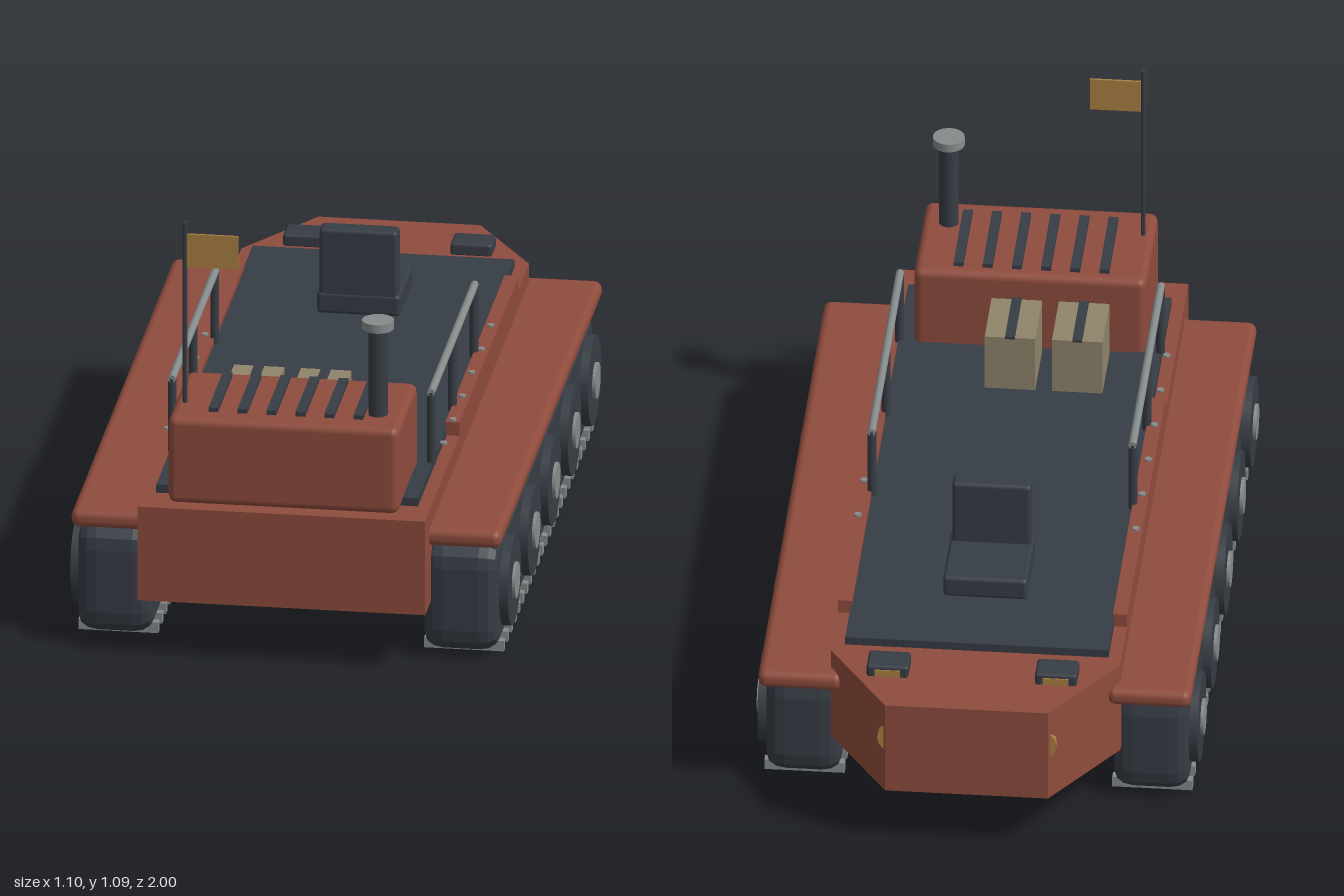
import * as THREE from 'three';
import { RoundedBoxGeometry } from 'three/addons/geometries/RoundedBoxGeometry.js';

const mat = (name, color) => {
  const m = new THREE.MeshStandardMaterial({ color });
  m.name = name;
  return m;
};

export function createModel() {
  const model = new THREE.Group();
  model.name = 'trackedCarrier';
  const red = mat('rustRed', 0x8f4c3d);
  const dark = mat('darkSlate', 0x373d45);
  const grey = mat('steelGrey', 0x868b8b);
  const tan = mat('crateTan', 0x90856b);
  const amber = mat('amber', 0xac8043);

  const add = (name, geo, material, x = 0, y = 0, z = 0) => {
    const m = new THREE.Mesh(geo, material);
    m.name = name;
    m.position.set(x, y, z);
    model.add(m);
    return m;
  };
  // Boxes given by their limits: x0..x1, y0..y1, z0..z1, with an optional edge radius
  const box = (name, material, [x0, x1], [y0, y1], [z0, z1], r = 0) => {
    const s = [x1 - x0, y1 - y0, z1 - z0];
    const geo = r ? new RoundedBoxGeometry(...s, 2, r) : new THREE.BoxGeometry(...s);
    return add(name, geo, material, (x0 + x1) / 2, (y0 + y1) / 2, (z0 + z1) / 2);
  };
  const cyl = (name, material, r, len, x, y, z, axis = 'y', sides = 24) => {
    const geo = new THREE.CylinderGeometry(r, r, len, sides);
    if (axis === 'x') geo.rotateZ(Math.PI / 2);
    if (axis === 'z') geo.rotateX(Math.PI / 2);
    return add(name, geo, material, x, y, z);
  };

  // Hull with tapered bow, drawn in plan (shape y is -z)
  const plan = new THREE.Shape([
    [-0.355, -1], [0.355, -1], [0.355, 0.76], [0.2, 1], [-0.2, 1], [-0.355, 0.76],
  ].map(([x, y]) => new THREE.Vector2(x, y)));
  const hull = new THREE.ExtrudeGeometry(plan, { depth: 0.245, bevelEnabled: false });
  hull.rotateX(-Math.PI / 2);
  add('hull', hull, red, 0, 0.15, 0);
  box('deck', dark, [-0.323, 0.323], [0.39, 0.416], [-0.73, 0.9]);

  // Engine housing with vent slats
  box('engineHousing', red, [-0.285, 0.285], [0.395, 0.62], [0.64, 0.97], 0.02);
  for (let i = 0; i < 6; i++) {
    const x = -0.18 + i * 0.0715;
    box('ventSlat', dark, [x - 0.012, x + 0.012], [0.61, 0.631], [0.67, 0.915]);
  }
  cyl('exhaustPipe', dark, 0.024, 0.25, 0.22, 0.725, 0.87);
  cyl('exhaustCap', grey, 0.039, 0.022, 0.22, 0.856, 0.87);
  cyl('flagPole', dark, 0.006, 0.48, -0.258, 0.852, 0.858, 'y', 10);
  box('flag', amber, [-0.256, -0.127], [0.975, 1.061], [0.855, 0.861]);

  // Crates with straps over the top
  for (const x of [-0.135, 0.03]) {
    box('crate', tan, [x - 0.062, x + 0.062], [0.416, 0.563], [0.445, 0.623]);
    box('crateStrap', dark, [x - 0.012, x + 0.012], [0.56, 0.567], [0.443, 0.625]);
  }

  // Driver seat
  box('seatCushion', dark, [-0.103, 0.103], [0.416, 0.472], [-0.522, -0.3], 0.01);
  box('seatBack', dark, [-0.097, 0.097], [0.416, 0.637], [-0.353, -0.302], 0.01);

  // Outline of one track in side view (shape x is -z)
  const [a, b, lo, hi, r] = [-0.88, 0.715, 0.045, 0.27, 0.035];
  const side = new THREE.Shape();
  side.moveTo(a + r, lo);
  side.lineTo(b - r, lo);
  side.quadraticCurveTo(b, lo, b, lo + r);
  side.lineTo(b, hi - r);
  side.quadraticCurveTo(b, hi, b - r, hi);
  side.lineTo(a + r, hi);
  side.quadraticCurveTo(a, hi, a, hi - r);
  side.lineTo(a, lo + r);
  side.quadraticCurveTo(a, lo, a + r, lo);
  const track = new THREE.ExtrudeGeometry(side, {
    depth: 0.09, bevelThickness: 0.046, bevelSize: 0.03, bevelSegments: 3, curveSegments: 3,
  });
  track.rotateY(Math.PI / 2);
  track.translate(-0.045, 0, 0);

  for (const s of [-1, 1]) {
    const span = (p, q) => [Math.min(s * p, s * q), Math.max(s * p, s * q)];

    // Side sills, fenders and tracks
    box('sideSill', red, span(0.32, 0.355), [0.38, 0.43], [-0.585, 0.415]);
    box('fender', red, span(0.325, 0.531), [0.301, 0.347], [-0.805, 0.927], 0.02);
    add('trackBelt', track, dark, s * 0.427, 0, 0);
    for (let i = 0; i < 24; i++) {
      const z = 0.82 - i * 0.0652;
      box('trackCleat', grey, span(0.328, 0.525), [0, 0.027], [z - 0.011, z + 0.011]);
    }
    for (let i = 0; i < 5; i++) {
      const z = 0.757 - i * 0.34;
      cyl('roadWheel', dark, 0.112, 0.05, s * 0.515, 0.16, z, 'x', 32);
      cyl('wheelHub', grey, 0.045, 0.03, s * 0.533, 0.16, z, 'x', 20);
    }

    // Handrail
    for (const z of [0.65, 0.295, -0.07]) cyl('railPost', dark, 0.011, 0.19, s * 0.32, 0.505, z, 'y', 12);
    cyl('handrail', grey, 0.01, 0.74, s * 0.32, 0.6, 0.29, 'z', 12);

    // Deck edge rivets
    for (let i = 0; i < 6; i++) {
      cyl('rivet', grey, 0.009, 0.005, s * 0.341, 0.444, 0.59 - i * 0.16, 'y', 8);
    }

    // Bow pods with lenses, and marker lamps set into the bow corners
    box('bowPod', dark, span(0.155, 0.258), [0.39, 0.425], [-0.87, -0.793], 0.008);
    box('podLens', amber, span(0.175, 0.238), [0.397, 0.415], [-0.873, -0.868]);
    cyl('bowLamp', amber, 0.042, 0.018, s * 0.178, 0.298, -0.985, 'z', 16);
  }
  return model;
}
